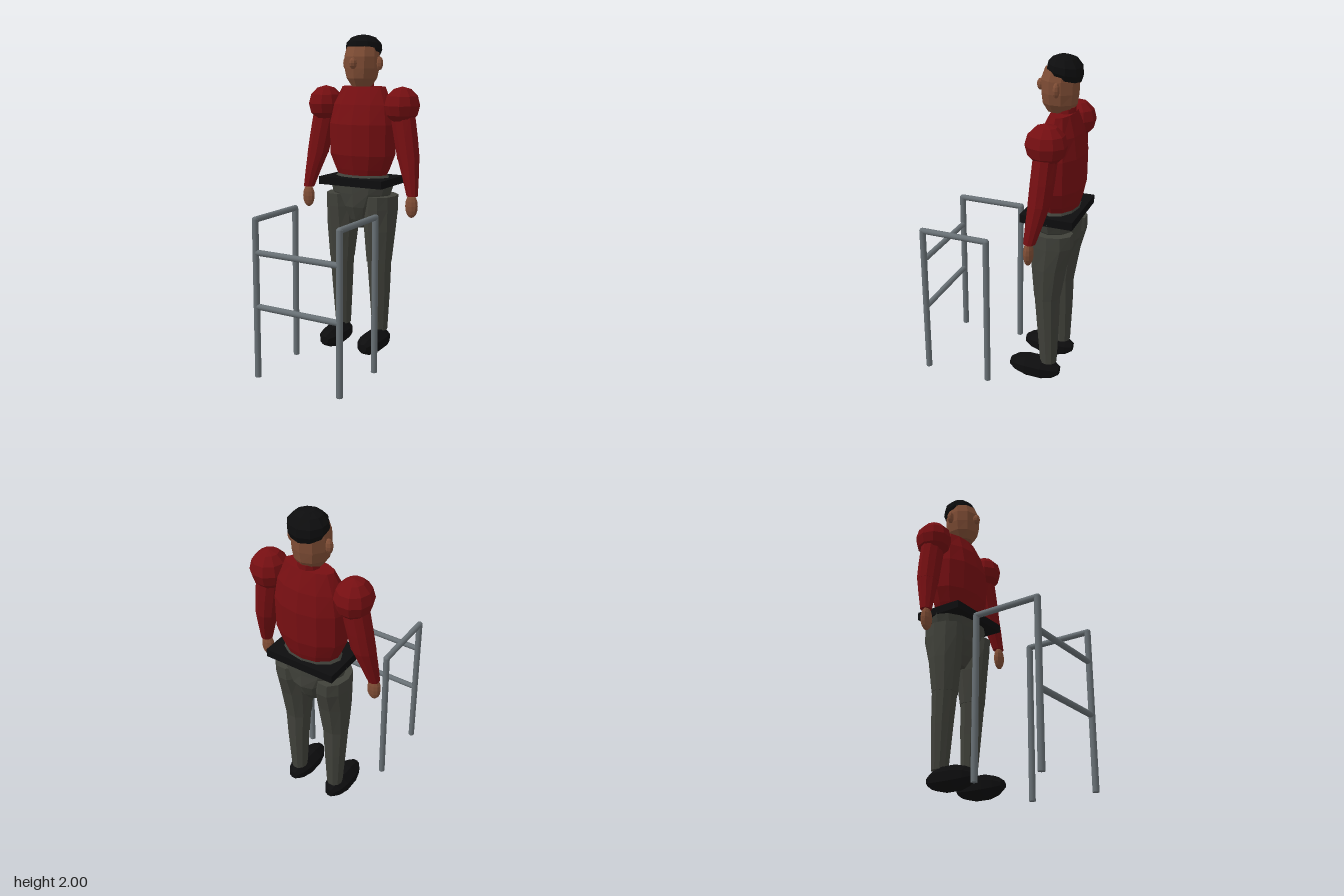
import * as THREE from 'three';

const mat = (name, color, flatShading = true) => {
  const m = new THREE.MeshStandardMaterial({ color, flatShading });
  m.name = name;
  return m;
};

// Closed solid through elliptical rings [y, x, z, rx, rz], listed upwards
function loft(rows, segs, phase = 0) {
  const pos = [], idx = [], n = rows.length;
  for (const [y, x, z, rx, rz] of rows) {
    for (let j = 0; j < segs; j++) {
      const a = ((j + phase) / segs) * Math.PI * 2;
      pos.push(x + rx * Math.cos(a), y, z + rz * Math.sin(a));
    }
  }
  const bottom = n * segs, top = bottom + 1;
  for (const r of [rows[0], rows[n - 1]]) pos.push(r[1], r[0], r[2]);
  for (let j = 0; j < segs; j++) {
    const k = (j + 1) % segs;
    for (let i = 0; i < n - 1; i++) {
      const a = i * segs + j, b = i * segs + k;
      idx.push(a, a + segs, b, b, a + segs, b + segs);
    }
    idx.push(bottom, j, k, top, (n - 1) * segs + k, (n - 1) * segs + j);
  }
  const g = new THREE.BufferGeometry();
  g.setAttribute('position', new THREE.Float32BufferAttribute(pos, 3));
  g.setIndex(idx);
  g.computeVertexNormals();
  return g;
}

export function createModel() {
  const root = new THREE.Group();
  root.name = 'manWithWalkingFrame';
  const red = mat('red sweater', 0x760f12);
  const skin = mat('skin', 0x7f4d35);
  const grey = mat('grey trousers', 0x40413a);
  const black = mat('black', 0x0d0d0e);
  const metal = mat('grey metal', 0x687075, false);

  const add = (name, geo, material, parent = root) => {
    const m = new THREE.Mesh(geo, material);
    m.name = name;
    parent.add(m);
    return m;
  };
  const ball = (name, material, [x, y, z], [rx, ry, rz], w = 10, h = 6, parent = root) => {
    const m = add(name, new THREE.SphereGeometry(1, w, h), material, parent);
    m.position.set(x, y, z);
    m.scale.set(rx, ry, rz);
    return m;
  };

  // Head, neck, nose and hair
  add('head', loft([
    [1.69, 0, -0.3, 0.06, 0.07], [1.74, 0, -0.3, 0.095, 0.1], [1.8, 0, -0.3, 0.109, 0.108],
    [1.87, 0, -0.3, 0.111, 0.11], [1.93, 0, -0.31, 0.1, 0.098],
  ], 10, 0.5), skin);
  add('neck', loft([[1.64, 0, -0.32, 0.06, 0.06], [1.76, 0, -0.32, 0.06, 0.06]], 10), skin);
  ball('nose', skin, [0, 1.83, -0.19], [0.025, 0.034, 0.027], 8, 6);
  const hair = loft([
    [1.885, 0, -0.325, 0.1, 0.09], [1.915, 0, -0.325, 0.116, 0.102], [1.95, 0, -0.325, 0.112, 0.097],
    [1.985, 0, -0.32, 0.078, 0.068], [2.0, 0, -0.315, 0.03, 0.03],
  ], 10, 0.5);
  // Lower the nape and raise the fringe
  const hp = hair.attributes.position;
  for (let i = 0; i < hp.count; i++) {
    const fade = Math.max(0, (2 - hp.getY(i)) / 0.115);
    hp.setY(i, hp.getY(i) + (hp.getZ(i) + 0.325) * 0.28 * fade);
  }
  add('hair', hair, black);

  // Torso, collar, belt and hips
  add('torso', loft([
    [1.13, 0, -0.32, 0.16, 0.106], [1.18, 0, -0.32, 0.186, 0.122], [1.27, 0, -0.317, 0.224, 0.142],
    [1.46, 0, -0.315, 0.226, 0.143], [1.58, 0, -0.32, 0.203, 0.115], [1.69, 0, -0.325, 0.152, 0.066],
  ], 12), red);
  add('collar', loft([[1.67, 0, -0.325, 0.068, 0.066], [1.72, 0, -0.33, 0.058, 0.06]], 10), red);
  const belt = add('belt', new THREE.BoxGeometry(0.44, 0.048, 0.31), black);
  belt.position.set(0, 1.107, -0.305);
  add('hips', loft([
    [0.805, 0, -0.315, 0.045, 0.05], [0.86, 0, -0.318, 0.08, 0.088], [0.945, 0, -0.32, 0.13, 0.125],
    [1.03, 0, -0.315, 0.2, 0.129], [1.09, 0, -0.313, 0.222, 0.132], [1.145, 0, -0.318, 0.17, 0.112],
  ], 12), grey);

  for (const s of [1, -1]) {
    const side = s > 0 ? 'left' : 'right';
    ball(side + 'Ear', skin, [s * 0.115, 1.83, -0.313], [0.025, 0.042, 0.02], 8, 6);

    // Arm
    ball(side + 'Shoulder', red, [s * 0.27, 1.578, -0.318], [0.108, 0.115, 0.116], 10, 6);
    add(side + 'UpperArm', loft([
      [1.26, s * 0.324, -0.305, 0.071, 0.063], [1.38, s * 0.302, -0.312, 0.076, 0.066],
      [1.52, s * 0.275, -0.318, 0.08, 0.066],
    ], 10), red);
    add(side + 'Forearm', loft([
      [1.04, s * 0.371, -0.268, 0.035, 0.034], [1.16, s * 0.347, -0.288, 0.053, 0.05],
      [1.27, s * 0.322, -0.306, 0.071, 0.062],
    ], 10), red);
    ball(side + 'Hand', skin, [s * 0.37, 0.979, -0.262], [0.042, 0.073, 0.028], 10, 8);

    // Leg
    add(side + 'Thigh', loft([
      [0.595, s * 0.135, -0.298, 0.081, 0.078], [0.8, s * 0.134, -0.305, 0.099, 0.104],
      [0.94, s * 0.138, -0.317, 0.098, 0.128], [1.02, s * 0.143, -0.315, 0.092, 0.128],
    ], 10), grey);
    add(side + 'Shin', loft([
      [0.14, s * 0.136, -0.315, 0.049, 0.051], [0.4, s * 0.137, -0.307, 0.066, 0.066],
      [0.605, s * 0.136, -0.298, 0.078, 0.076],
    ], 10), grey);
    const shoe = loft([
      [-0.386, s * 0.139, -0.084, 0.03, 0.028], [-0.345, s * 0.139, -0.083, 0.06, 0.055],
      [-0.28, s * 0.139, -0.083, 0.078, 0.072], [-0.18, s * 0.139, -0.083, 0.078, 0.072],
      [-0.115, s * 0.139, -0.083, 0.06, 0.055], [-0.073, s * 0.139, -0.083, 0.03, 0.027],
    ], 8, 0.5).rotateX(Math.PI / 2);
    add(side + 'Shoe', shoe, black);
  }

  // Walking frame: posts, hand rails and two front bars
  const frame = new THREE.Group();
  frame.name = 'walkingFrame';
  root.add(frame);
  const rod = (name, a, b, r) => {
    const from = new THREE.Vector3(...a), dir = new THREE.Vector3(...b).sub(from);
    const m = add(name, new THREE.CylinderGeometry(r, r, dir.length(), 12), metal, frame);
    m.position.copy(from).addScaledVector(dir, 0.5);
    m.quaternion.setFromUnitVectors(new THREE.Vector3(0, 1, 0), dir.normalize());
  };
  for (const x of [0.28, -0.28]) {
    for (const z of [0.033, 0.441]) {
      rod(z > 0.2 ? 'frontPost' : 'rearPost', [x, 0, z], [x, 0.955, z], 0.019);
      ball('postCap', metal, [x, 0.953, z], [0.019, 0.018, 0.019], 12, 8, frame);
    }
    rod('handRail', [x, 0.953, 0.033], [x, 0.953, 0.441], 0.018);
  }
  for (const y of [0.435, 0.76]) rod('crossBar', [-0.28, y, 0.441], [0.28, y, 0.441], 0.018);

  return root;
}
